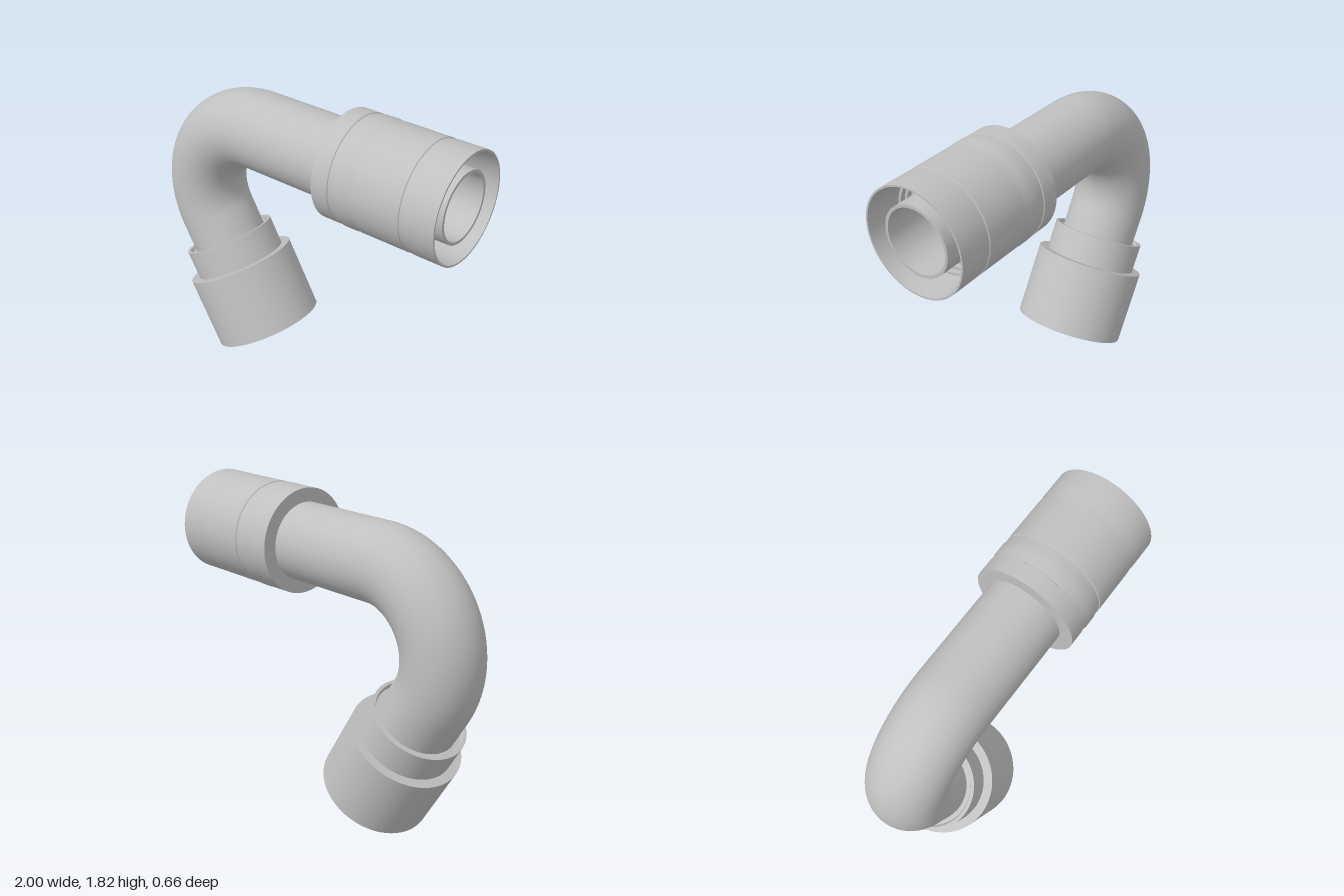
import * as THREE from 'three';
import { toCreasedNormals } from 'three/addons/utils/BufferGeometryUtils.js';

const AXIS_Y = 1.515, BEND_R = 0.445, BEND_X = -0.33, BEND_ANGLE = Math.PI * 2 / 3;
const BEND_Y = AXIS_Y - BEND_R;
const PIPE_R = 0.225, BORE_R = 0.18;

// Pipe centreline: a straight run along -x, a 120 degree bend, a short straight tail
class PipeLine extends THREE.Curve {
  constructor(startX, tail) {
    super();
    this.startX = startX;
    this.run = startX - BEND_X;
    this.arc = BEND_R * BEND_ANGLE;
    this.total = this.run + this.arc + tail;
  }
  getPoint(t, target = new THREE.Vector3()) {
    const s = t * this.total;
    if (s < this.run) return target.set(this.startX - s, AXIS_Y, 0);
    const a = Math.PI / 2 + Math.min((s - this.run) / BEND_R, BEND_ANGLE);
    const rest = Math.max(0, s - this.run - this.arc);
    return target.set(
      BEND_X + BEND_R * Math.cos(a) - rest * Math.sin(a),
      BEND_Y + BEND_R * Math.sin(a) + rest * Math.cos(a), 0);
  }
}

export function createModel() {
  const model = new THREE.Group();
  const grey = new THREE.MeshStandardMaterial({ color: 0xc0c0c0, side: THREE.DoubleSide });
  grey.name = 'light grey';

  const add = (name, geometry) => {
    const mesh = new THREE.Mesh(geometry, grey);
    mesh.name = name;
    model.add(mesh);
    return mesh;
  };
  // Closed profile of [position along axis, radius] turned into a ring-shaped part
  const turned = (name, profile) => {
    const points = profile.map(([s, r]) => new THREE.Vector2(r, s));
    points.push(points[0].clone());
    return add(name, toCreasedNormals(new THREE.LatheGeometry(points, 96), 0.6));
  };

  // Bent pipe, outer wall and bore
  add('pipe', new THREE.TubeGeometry(new PipeLine(0.3, 0.28), 120, PIPE_R, 72));
  const bore = new THREE.TubeGeometry(new PipeLine(0.3, 0.25), 120, BORE_R, 72);
  const index = bore.index.array;
  for (let i = 0; i < index.length; i += 3) [index[i], index[i + 1]] = [index[i + 1], index[i]];
  const normals = bore.attributes.normal.array;
  for (let i = 0; i < normals.length; i++) normals[i] *= -1;
  add('pipeBore', bore);

  // Straight coupling with shallow grooves, stepped socket and central nozzle
  const coupling = turned('coupling', [
    [0.265, BORE_R], [0.265, 0.305], [0.365, 0.305], [0.368, 0.3], [0.373, 0.3],
    [0.41, 0.307], [0.47, 0.307], [0.51, 0.3], [0.515, 0.3], [0.518, 0.305],
    [0.797, 0.305], [0.8, 0.3], [0.805, 0.3], [0.84, 0.305], [1, 0.305],
    [1, 0.295], [0.8, 0.28], [0.8, 0.265], [0.77, 0.265], [0.77, 0.25],
    [0.74, 0.25], [0.74, 0.225], [0.5, 0.225], [0.5, 0.197], [0.98, 0.197],
    [0.98, BORE_R],
  ]);
  coupling.rotation.z = -Math.PI / 2;
  coupling.position.y = AXIS_Y;

  // Stepped bell socket on the lower end
  const bell = turned('bellSocket', [
    [0.183, BORE_R], [0.183, 0.25], [0.163, 0.258], [0.163, 0.277], [0.34, 0.277],
    [0.34, 0.33], [0.781, 0.33], [0.781, 0.316], [0.37, 0.316], [0.37, 0.2],
    [0.25, 0.2], [0.25, BORE_R],
  ]);
  const end = Math.PI / 2 + BEND_ANGLE;
  bell.rotation.z = end;
  bell.position.set(BEND_X + BEND_R * Math.cos(end), BEND_Y + BEND_R * Math.sin(end), 0);

  return model;
}
